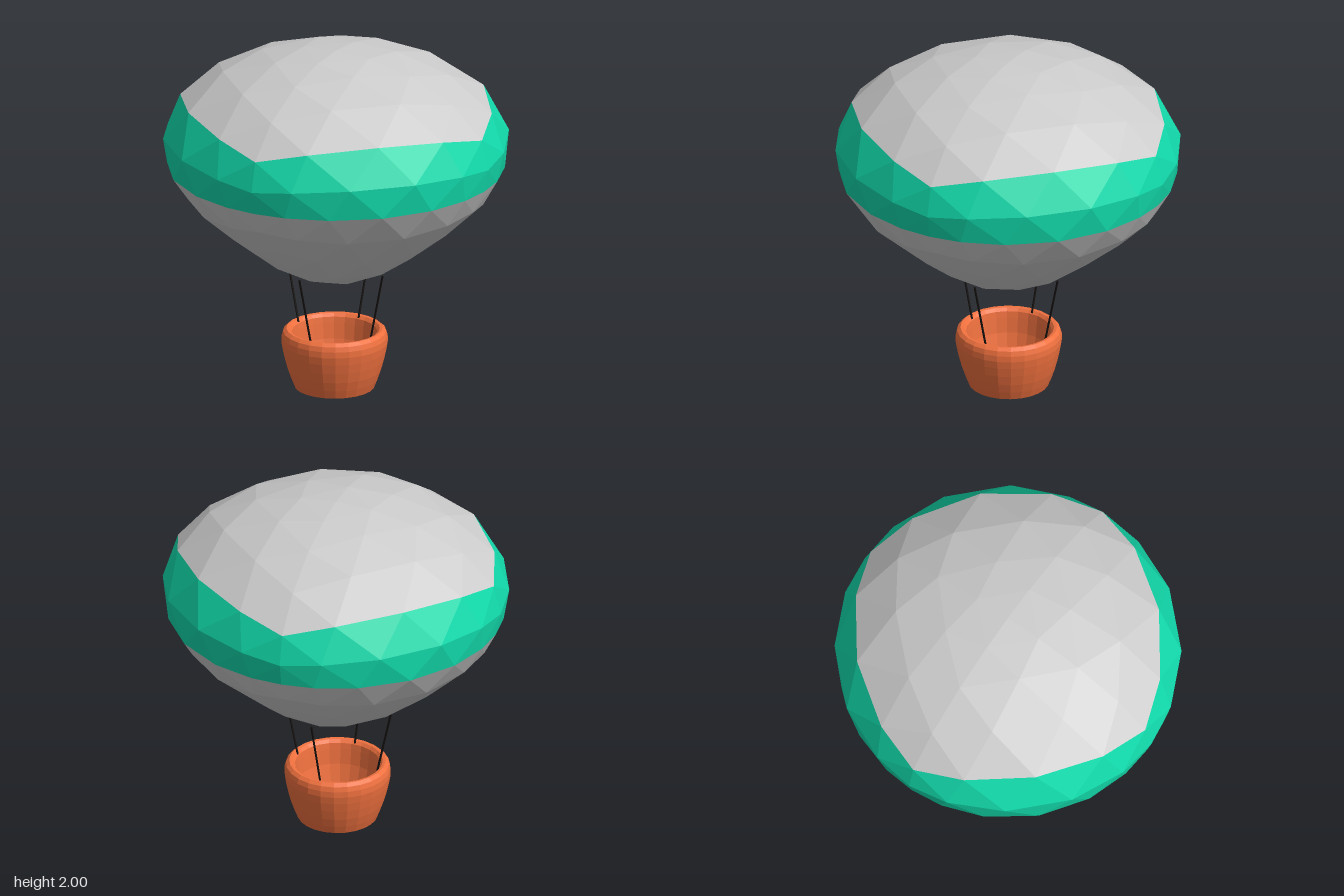
import * as THREE from 'three';

const grey = new THREE.MeshStandardMaterial({ color: 0xcccccc, flatShading: true });
const green = new THREE.MeshStandardMaterial({ color: 0x12dbac, flatShading: true });
const orange = new THREE.MeshStandardMaterial({ color: 0xf0713f, flatShading: true });
const black = new THREE.MeshStandardMaterial({ color: 0x14100e });

// Horizontal swelling of the balloon by height on the unit sphere: [height, factor]
const SWELL = [[-1, 0.65], [-0.89, 0.655], [-0.707, 0.68], [-0.447, 0.79], [-0.196, 0.9],
  [0, 0.952], [0.196, 0.999], [0.447, 1.05], [0.707, 1.066], [1, 1.07]];

function swell(h) {
  let i = 1;
  while (i < SWELL.length - 1 && h > SWELL[i][0]) i++;
  const [h0, f0] = SWELL[i - 1], [h1, f1] = SWELL[i];
  return THREE.MathUtils.mapLinear(h, h0, h1, f0, f1);
}

function addMesh(parent, name, geometry, material) {
  const mesh = new THREE.Mesh(geometry, material);
  mesh.name = name;
  parent.add(mesh);
  return mesh;
}

// Balloon: subdivided octahedron, tapered below, split into bands by its rings of points
function makeBalloon() {
  const DETAIL = 5;
  const pos = new THREE.OctahedronGeometry(1, DETAIL).attributes.position;
  const bands = { crown: [], stripe: [], belly: [] };
  const v = new THREE.Vector3();
  for (let i = 0; i < pos.count; i += 3) {
    const corners = [];
    let ring = 0;
    for (let j = 0; j < 3; j++) {
      v.fromBufferAttribute(pos, i + j);
      ring += (DETAIL + 1) * v.y / (Math.abs(v.x) + Math.abs(v.y) + Math.abs(v.z)) / 3;
      const f = swell(v.y);
      corners.push(v.x * f, 1.32 + 0.68 * v.y, v.z * f);
    }
    bands[ring > 2 ? 'crown' : ring > 0 ? 'stripe' : 'belly'].push(...corners);
  }
  const balloon = new THREE.Group();
  balloon.name = 'balloon';
  for (const [name, points] of Object.entries(bands)) {
    const geometry = new THREE.BufferGeometry();
    geometry.setAttribute('position', new THREE.Float32BufferAttribute(points, 3));
    geometry.computeVertexNormals();
    addMesh(balloon, name, geometry, name === 'stripe' ? green : grey);
  }
  return balloon;
}

// Thin straight rope between two points
function addRope(parent, from, to) {
  const rope = addMesh(parent, 'rope', new THREE.CylinderGeometry(0.006, 0.006, from.distanceTo(to), 8), black);
  rope.position.copy(from).lerp(to, 0.5);
  rope.quaternion.setFromUnitVectors(new THREE.Vector3(0, 1, 0), to.clone().sub(from).normalize());
}

export function createModel() {
  const model = new THREE.Group();
  model.name = 'hotAirBalloon';
  model.add(makeBalloon());

  const gondola = new THREE.Group();
  gondola.name = 'gondola';
  gondola.position.x = -0.009;
  model.add(gondola);

  // Basket: hollow, with a rounded rim
  const profile = [
    [0, 0], [0.226, 0], [0.246, 0.05], [0.265, 0.105], [0.281, 0.165], [0.293, 0.22],
    [0.3, 0.265], [0.299, 0.3], [0.291, 0.328], [0.272, 0.345], [0.255, 0.342], [0.24, 0.325],
    [0.235, 0.29], [0.225, 0.2], [0.2, 0.1], [0.18, 0.05], [0, 0.05],
  ].map(([r, y]) => new THREE.Vector2(r, y));
  addMesh(gondola, 'basket', new THREE.LatheGeometry(profile, 24), orange);

  // Four slightly twisted ropes
  const at = (angle, r, y) => new THREE.Vector3(r * Math.cos(angle), y, r * Math.sin(angle));
  for (let i = 0; i < 4; i++) {
    const turn = i * Math.PI / 2;
    addRope(gondola, at(turn + 0.08, 0.244, 0.33), at(turn + 0.127, 0.335, 0.722));
  }
  return model;
}
